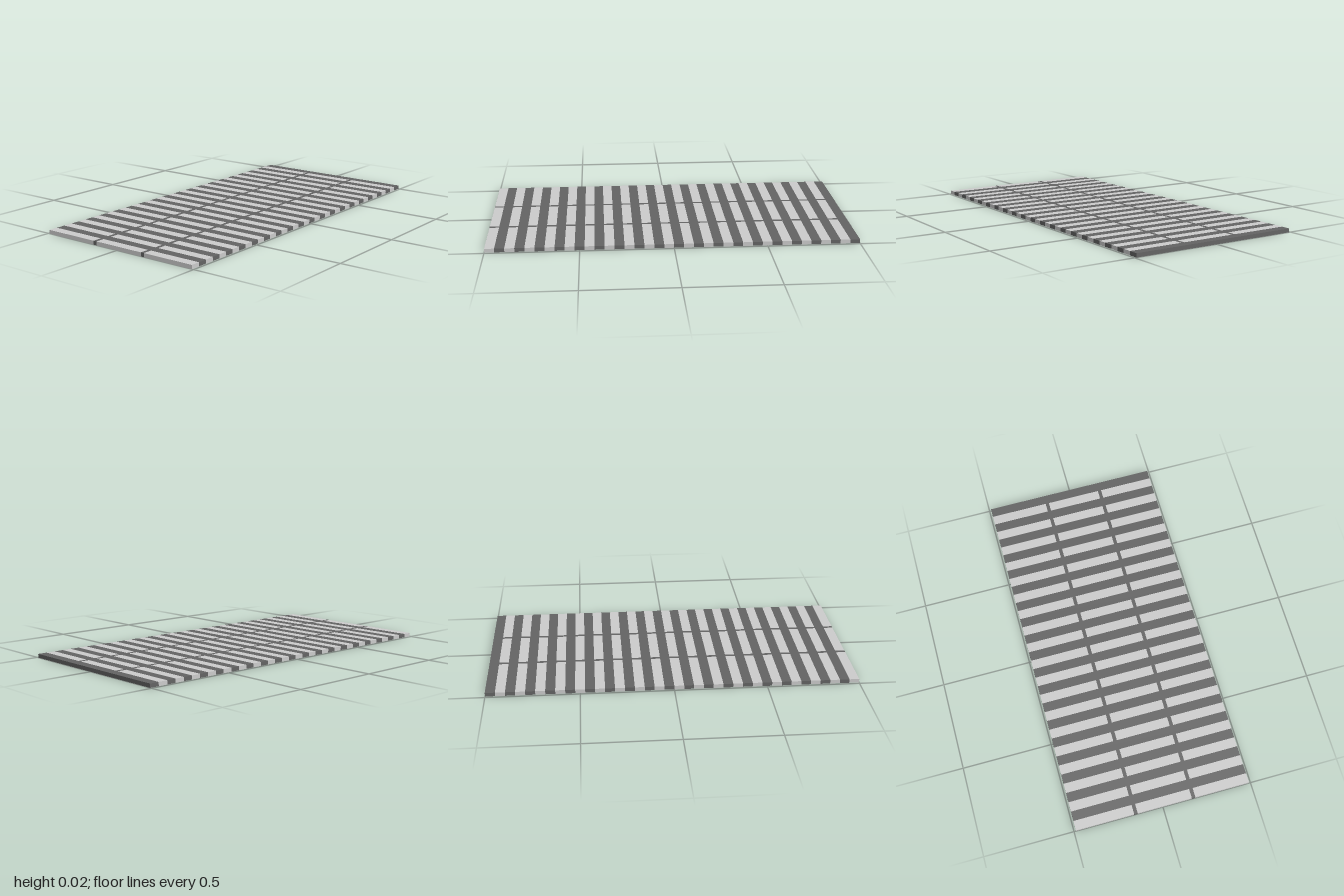
import * as THREE from 'three';

const COUNT = 19;            // light/dark strip pairs
const WIDTH = 1 / COUNT;     // width of one strip
const HEIGHT = 0.021;
const HALF_DEPTH = 0.489;
const PITCH = (2 * HALF_DEPTH) / 3;
const RIB = 0.02;            // width of the cross ribs

export function createModel() {
  const model = new THREE.Group();
  const lightMaterial = new THREE.MeshStandardMaterial({ color: 0xcccccc });
  const darkMaterial = new THREE.MeshStandardMaterial({ color: 0x646464 });

  // Full-height block spanning z0..z1 in the strip that starts at x0
  function addBlock(name, material, x0, z0, z1) {
    const mesh = new THREE.Mesh(new THREE.BoxGeometry(WIDTH, HEIGHT, z1 - z0), material);
    mesh.name = name;
    mesh.position.set(x0 + WIDTH / 2, HEIGHT / 2, (z0 + z1) / 2);
    model.add(mesh);
  }

  for (let i = 0; i < COUNT; i++) {
    const x = -1 + i * 2 * WIDTH;

    // Light strip: three slats parted by two flush dark ribs
    for (let j = 0; j < 3; j++) {
      const start = -HALF_DEPTH + j * PITCH;
      const slatStart = j ? start + RIB : start;
      if (j) addBlock('crossRib', darkMaterial, x, start, slatStart);
      addBlock('slat', lightMaterial, x, slatStart, start + PITCH);
    }

    // Dark strip running the whole depth
    addBlock('bar', darkMaterial, x + WIDTH, -HALF_DEPTH, HALF_DEPTH);
  }
  return model;
}
